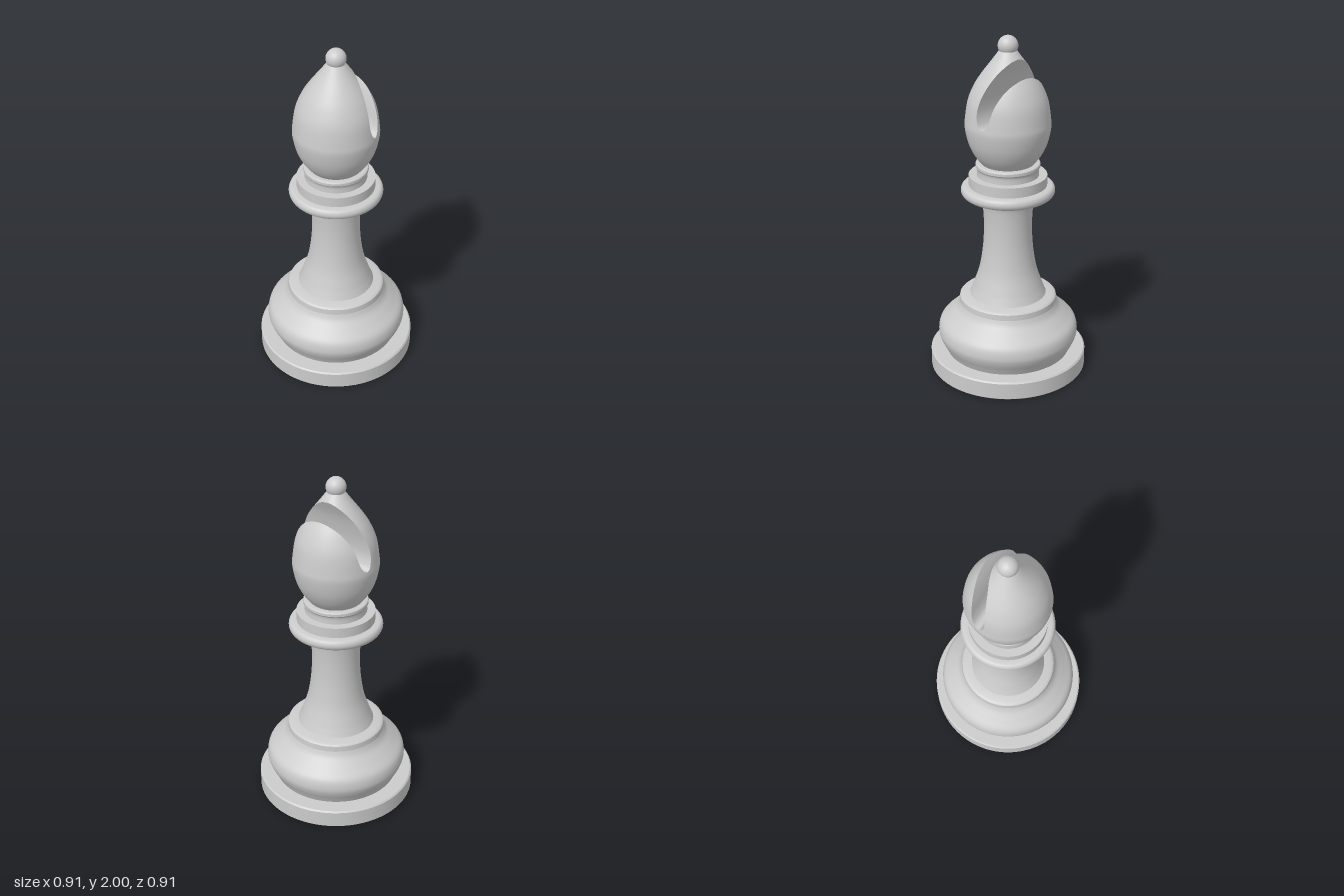
import * as THREE from 'three';

const material = new THREE.MeshStandardMaterial({ color: 0xcccccc, side: THREE.DoubleSide });
const spline = (pts) => new THREE.SplineCurve(pts.map(([x, y]) => new THREE.Vector2(x, y)));

// Turned part: each section is one smooth run, sections meet at sharp edges
function turned(name, sections) {
  const group = new THREE.Group();
  group.name = name;
  for (const pts of sections) {
    const run = pts.length > 2 ? spline(pts).getPoints(pts.length * 5) : pts.map(([x, y]) => new THREE.Vector2(x, y));
    run.forEach((p) => { p.x = Math.max(p.x, 0); });
    const mesh = new THREE.Mesh(new THREE.LatheGeometry(run, 96), material);
    mesh.name = name + 'Section';
    group.add(mesh);
  }
  return group;
}

// Grid surface: point(row, t) returns a position and, if known, a normal
function patch(name, rows, cols, point, flip = false) {
  const pos = [], nor = [], index = [];
  rows.forEach((row, i) => {
    for (let j = 0; j <= cols; j++) {
      const { p, n } = point(row, j / cols);
      pos.push(...p);
      if (n) nor.push(...n.normalize().toArray());
      if (i && j) {
        const d = i * (cols + 1) + j, c = d - 1, b = d - cols - 1, a = b - 1;
        index.push(...(flip ? [a, b, c, b, d, c] : [a, c, b, b, c, d]));
      }
    }
  });
  const geo = new THREE.BufferGeometry();
  geo.setAttribute('position', new THREE.Float32BufferAttribute(pos, 3));
  geo.setIndex(index);
  if (nor.length) geo.setAttribute('normal', new THREE.Float32BufferAttribute(nor, 3));
  else geo.computeVertexNormals();
  const mesh = new THREE.Mesh(geo, material);
  mesh.name = name;
  return mesh;
}

// Head outline, looked up as radius at a height
const outline = spline([
  [0.145, 1.265], [0.19, 1.325], [0.222, 1.395], [0.24, 1.48], [0.238, 1.535], [0.222, 1.635],
  [0.19, 1.715], [0.15, 1.78], [0.085, 1.867], [0.05, 1.915], [0.03, 1.94],
]).getPoints(240);
function radius(y) {
  let i = 1;
  while (i < outline.length - 1 && outline[i].y < y) i++;
  const a = outline[i - 1], b = outline[i];
  return a.x + (b.x - a.x) * THREE.MathUtils.clamp((y - a.y) / (b.y - a.y), 0, 1);
}

// Head: an egg cut by a curved slot that runs straight through along z
function createHead() {
  const head = new THREE.Group();
  head.name = 'head';
  const bottom = [0.04, 1.521];
  const slotInner = spline([bottom, [0.027, 1.526], [0.012, 1.546], [0.001, 1.585], [0, 1.63], [0.011, 1.7],
    [0.037, 1.793], [0.074, 1.873], [0.086, 1.895]]).getPoints(96);
  const slotOuter = spline([bottom, [0.054, 1.526], [0.07, 1.543], [0.086, 1.585], [0.101, 1.66],
    [0.12, 1.728], [0.141, 1.78], [0.15, 1.8]]).getPoints(96);

  // Outer skin at a row: the arc between two angles
  const skin = (y, angle) => {
    const r = radius(y), slope = (radius(y + 0.008) - radius(y - 0.008)) / 0.016;
    const c = Math.cos(angle), s = Math.sin(angle);
    return { p: [r * c, y, r * s], n: new THREE.Vector3(c, -slope, s) };
  };
  const cut = (v) => Math.acos(Math.min(1, v.x / radius(v.y)));
  const levels = (from, to, n) => Array.from({ length: n + 1 }, (_, i) => new THREE.Vector2(1, from + ((to - from) * i) / n));

  head.add(patch('headLower', levels(1.265, bottom[1], 32), 96, (v, t) => skin(v.y, t * Math.PI * 2)));
  const innerRows = [...slotInner, ...levels(1.9, 1.94, 8)];
  head.add(patch('headMainLobe', innerRows, 96, (v, t) => {
    const a = cut(v);
    return skin(v.y, a + t * (Math.PI * 2 - 2 * a));
  }));
  head.add(patch('headSmallLobe', slotOuter, 64, (v, t) => skin(v.y, (2 * t - 1) * cut(v))));

  // Slot walls
  const wall = (v, t) => {
    const r = radius(v.y), x = Math.min(v.x, r);
    return { p: [x, v.y, (2 * t - 1) * Math.sqrt(r * r - x * x)] };
  };
  head.add(patch('slotInnerWall', slotInner, 12, wall, true));
  head.add(patch('slotOuterWall', slotOuter, 12, wall));
  return head;
}

export function createModel() {
  const model = new THREE.Group();
  model.name = 'chessPiece';

  model.add(turned('base', [
    [[0, 0], [0.452, 0]],
    [[0.452, 0], [0.457, 0.005]],
    [[0.457, 0.005], [0.457, 0.1]],
    [[0.457, 0.1], [0.449, 0.108]],
    [[0.449, 0.108], [0.35, 0.108]],
  ]));
  model.add(turned('bulge', [
    [[0.362, 0.106], [0.378, 0.14], [0.4, 0.185], [0.409, 0.228], [0.396, 0.283], [0.35, 0.33], [0.303, 0.376], [0.284, 0.412]],
    [[0.284, 0.412], [0.281, 0.445]],
    [[0.281, 0.445], [0.27, 0.453], [0.245, 0.459], [0.22, 0.463]],
  ]));
  model.add(turned('stem', [
    [[0.222, 0.461], [0.212, 0.485], [0.195, 0.53], [0.164, 0.63], [0.144, 0.76], [0.138, 0.89], [0.143, 1.0], [0.153, 1.05], [0.165, 1.075]],
  ]));
  model.add(turned('collar', [
    [[0.15, 1.056], [0.2, 1.064], [0.235, 1.073], [0.258, 1.085], [0.267, 1.105], [0.263, 1.125], [0.25, 1.137], [0.222, 1.141]],
    [[0.222, 1.141], [0.222, 1.2]],
    [[0.222, 1.2], [0.176, 1.2]],
    [[0.176, 1.2], [0.175, 1.225], [0.177, 1.24], [0.183, 1.25]],
    [[0.183, 1.25], [0.183, 1.265]],
    [[0.183, 1.265], [0.175, 1.272], [0.14, 1.273]],
  ]));
  model.add(createHead());

  const knob = new THREE.Mesh(new THREE.SphereGeometry(0.056, 48, 32), material);
  knob.name = 'knob';
  knob.position.y = 1.944;
  model.add(knob);
  return model;
}
